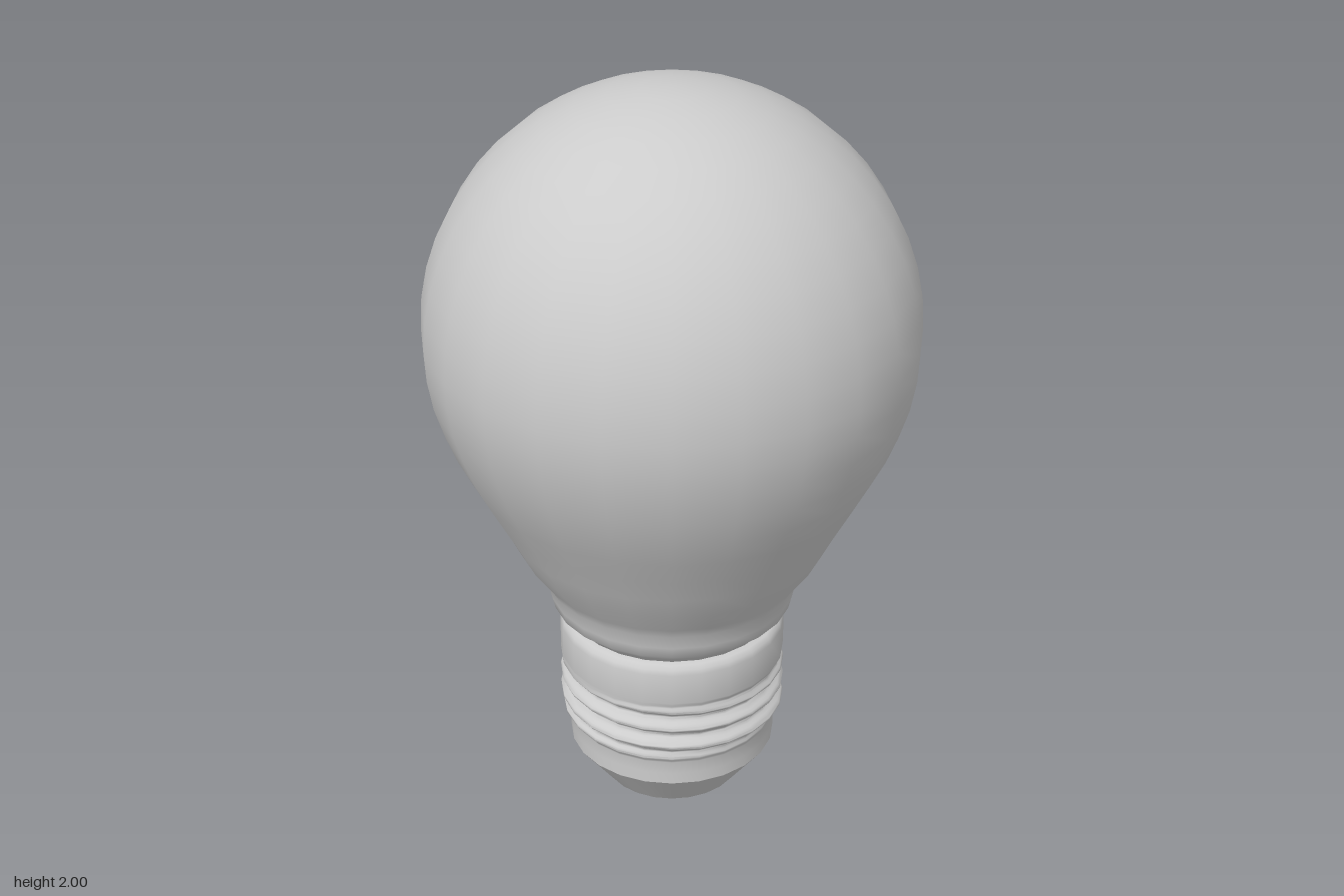
import * as THREE from 'three';
import { toCreasedNormals } from 'three/addons/utils/BufferGeometryUtils.js';

const SIDES = 24;
const material = new THREE.MeshStandardMaterial({ color: 0xcccccc, side: THREE.DoubleSide });

// Turned part from [radius, height] pairs, listed from bottom to top
function turned(name, profile, crease, shape) {
  const points = profile.map(([r, y]) => new THREE.Vector2(r, y));
  const geometry = new THREE.LatheGeometry(points, SIDES);
  if (shape) shape(geometry.attributes.position);
  const mesh = new THREE.Mesh(toCreasedNormals(geometry, crease), material);
  mesh.name = name;
  return mesh;
}

// Glass: narrow neck flowing into a round dome
function glassBulb() {
  const profile = [
    [0.26, 0.55], [0.28, 0.572], [0.312, 0.6], [0.319, 0.63], [0.328, 0.67], [0.345, 0.7],
    [0.395, 0.77], [0.43, 0.84], [0.47, 0.915], [0.51, 0.99], [0.548, 1.065],
    [0.577, 1.14], [0.602, 1.22], [0.616, 1.3],
  ];
  const steps = 12;
  for (let i = 0; i <= steps; i++) {
    const a = (i / steps) * Math.PI / 2;
    profile.push([i === steps ? 0 : 0.62 * Math.cos(a), 1.37 + 0.63 * Math.sin(a)]);
  }
  return turned('glassBulb', profile, 1.0);
}

// Metal cap: plain collar above a helical thread, plain sleeve below
function screwCap() {
  const low = 0.245, high = 0.445, pitch = 0.055, rows = 36;
  const profile = [[0.271, 0.178], [0.271, 0.21]];
  for (let i = 0; i <= rows; i++) {
    const t = i / rows;
    profile.push([THREE.MathUtils.lerp(0.271, 0.294, t * t * (3 - 2 * t)), low + (high - low) * t]);
  }
  profile.push([0.294, 0.53], [0.29, 0.544], [0.28, 0.553], [0.255, 0.556]);

  return turned('screwCap', profile, 0.9, (pos) => {
    for (let i = 0; i < pos.count; i++) {
      const x = pos.getX(i), y = pos.getY(i), z = pos.getZ(i);
      if (y < low || y > high) continue;
      const r = Math.hypot(x, z);
      const turn = Math.atan2(x, z) / (2 * Math.PI);
      const wave = 0.5 + 0.5 * Math.cos(2 * Math.PI * ((y - 0.3) / pitch + turn));
      // Thread fades into the plain wall at both ends
      const fade = THREE.MathUtils.smoothstep(y, low, low + 0.035)
        * (1 - THREE.MathUtils.smoothstep(y, high - 0.035, high));
      const k = THREE.MathUtils.lerp(r, 0.272 + 0.024 * wave, fade) / r;
      pos.setXYZ(i, x * k, y, z * k);
    }
  });
}

export function createModel() {
  const model = new THREE.Group();
  model.name = 'lightBulb';
  model.add(
    glassBulb(),
    screwCap(),
    // Tapered insulator under the cap
    turned('insulator', [[0.12, 0.062], [0.182, 0.062], [0.271, 0.178]], 0.5),
    // Contact button at the foot
    turned('contact', [[0, 0], [0.083, 0], [0.098, 0.01], [0.144, 0.062]], 0.45),
  );
  return model;
}
